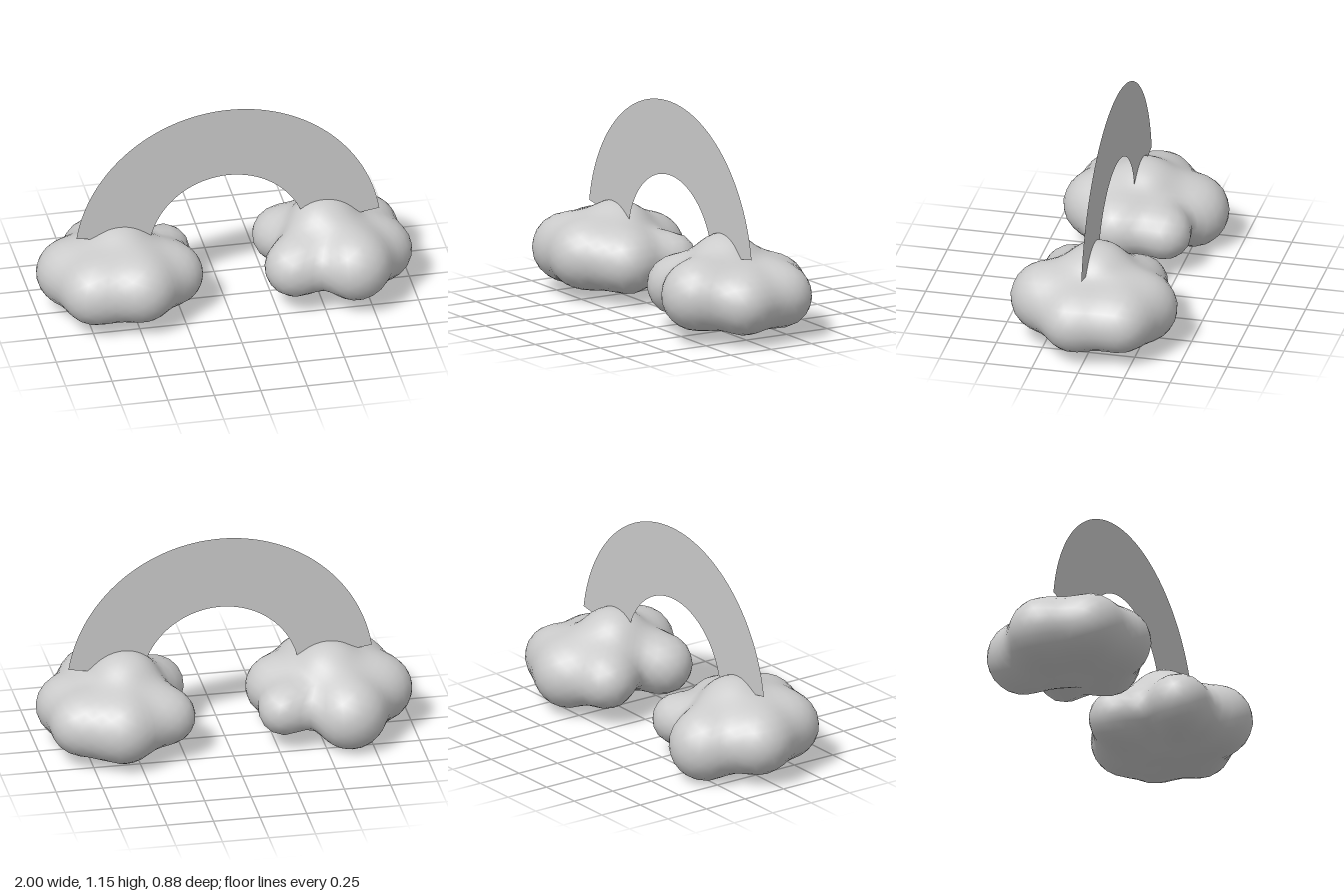
import * as THREE from 'three';
import { mergeVertices } from 'three/addons/utils/BufferGeometryUtils.js';

const grey = new THREE.MeshStandardMaterial({ color: 0xcccccc });
const greyThin = new THREE.MeshStandardMaterial({ color: 0xcccccc, side: THREE.DoubleSide });

// Distance to a group of spheres [x, y, z, r] that melt into each other
function blobDistance(p, blobs, blend) {
  let d = 10;
  for (const [x, y, z, r] of blobs) {
    const s = Math.hypot(p.x - x, p.y - y, p.z - z) - r;
    const h = Math.max(blend - Math.abs(d - s), 0) / blend;
    d = Math.min(d, s) - h * h * blend / 4;
  }
  return d;
}

// Shrink-wrap a ball around the puffs: each vertex slides inward to the surface
function makeCloud(name, centre, puffs) {
  let geo = new THREE.IcosahedronGeometry(1, 8);
  geo.deleteAttribute('normal');
  geo.deleteAttribute('uv');
  geo = mergeVertices(geo, 1e-4);
  const pos = geo.attributes.position;
  const dir = new THREE.Vector3();
  const p = new THREE.Vector3();
  for (let i = 0; i < pos.count; i++) {
    dir.fromBufferAttribute(pos, i).normalize();
    let t = 0.8;
    for (let k = 0; k < 60; k++) {
      p.copy(centre).addScaledVector(dir, t);
      const d = blobDistance(p, puffs, 0.12);
      if (d < 0.0005) break;
      t -= d * 0.9;
    }
    pos.setXYZ(i, p.x, p.y, p.z);
  }
  geo.computeVertexNormals();
  const mesh = new THREE.Mesh(geo, grey);
  mesh.name = name;
  return mesh;
}

export function createModel() {
  const model = new THREE.Group();
  model.name = 'rainbowWithClouds';

  // Flat rainbow band, cut off just above its centre line
  const tilt = THREE.MathUtils.degToRad(9);
  const band = new THREE.Mesh(
    new THREE.RingGeometry(0.425, 0.825, 64, 1, tilt, Math.PI - 2 * tilt), greyThin);
  band.position.set(0.02, 0.33, 0.02);
  band.name = 'rainbowBand';
  model.add(band);

  // Cloud on the -x end: core, crown, then the ring of puffs
  model.add(makeCloud('rightCloud', new THREE.Vector3(-0.56, 0.24, 0), [
    [-0.56, 0.225, 0.0, 0.195],
    [-0.56, 0.305, 0.0, 0.195],
    [-0.63, 0.2, -0.24, 0.195],
    [-0.29, 0.22, -0.17, 0.14],
    [-0.3, 0.23, 0.09, 0.17],
    [-0.49, 0.25, 0.24, 0.183],
    [-0.73, 0.24, 0.2, 0.183],
    [-0.82, 0.23, -0.03, 0.18],
  ]));

  // Cloud on the +x end
  model.add(makeCloud('leftCloud', new THREE.Vector3(0.59, 0.25, 0), [
    [0.58, 0.25, 0.0, 0.19],
    [0.535, 0.35, 0.0, 0.195],
    [0.59, 0.225, -0.25, 0.19],
    [0.8, 0.235, -0.18, 0.168],
    [0.83, 0.23, 0.06, 0.17],
    [0.66, 0.265, 0.25, 0.19],
    [0.35, 0.25, 0.18, 0.162],
    [0.345, 0.24, -0.18, 0.152],
  ]));

  return model;
}
